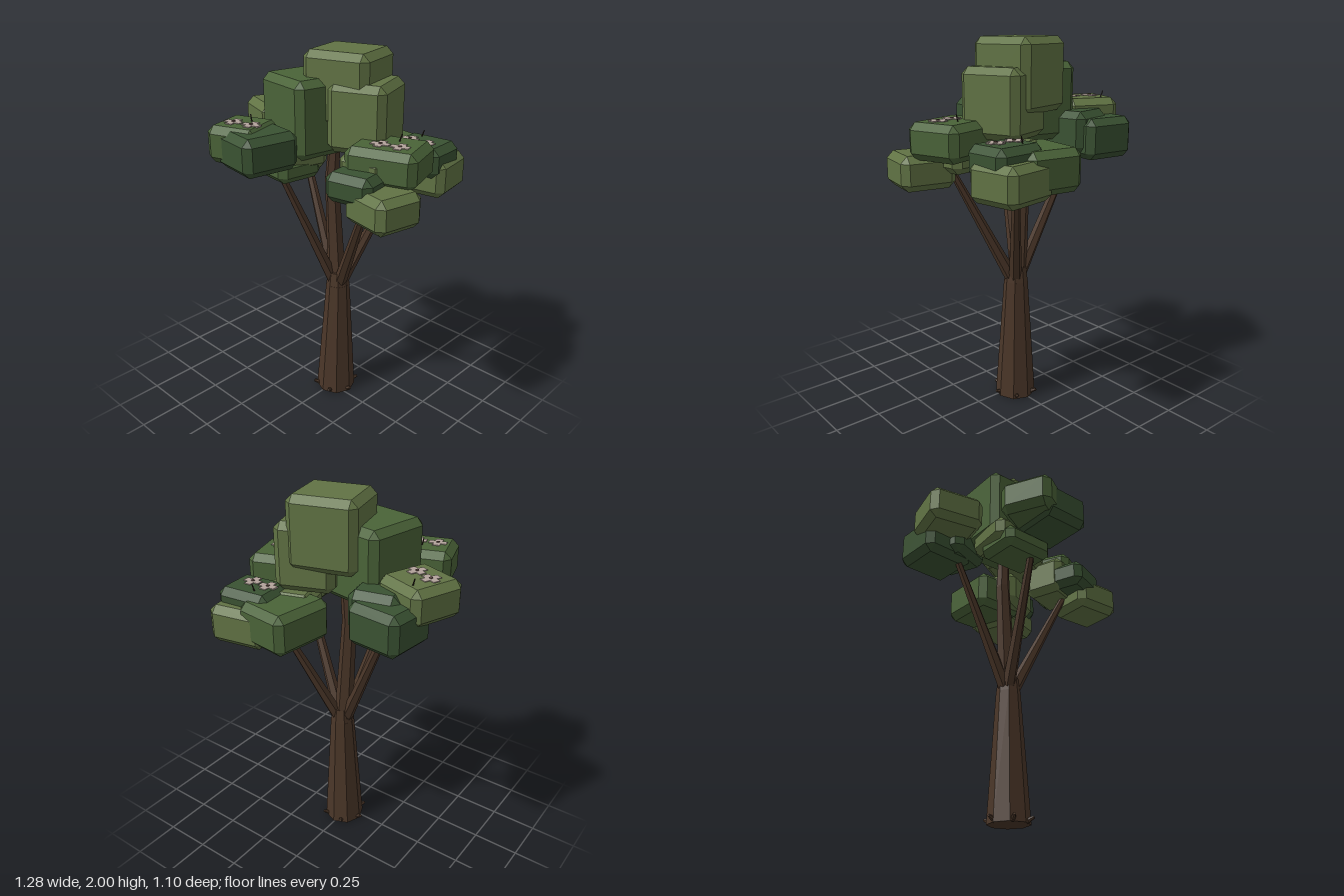
import * as THREE from 'three';
import { ConvexGeometry } from 'three/addons/geometries/ConvexGeometry.js';

const mat = (color) => new THREE.MeshStandardMaterial({ color, flatShading: true });
const LIGHT = mat(0x617344), MID = mat(0x4a6338), DARK = mat(0x3a5232);
const BARK = mat(0x4a3628), TWIG = mat(0x2c2119), PETAL = mat(0xb3a39b), CORE = mat(0x6b514b);
const V = (x, y, z) => new THREE.Vector3(x, y, z);

// Box with every edge cut at 45 degrees
function chamferBox(w, h, d, c = 0.036) {
  const points = [];
  for (const sx of [-1, 1]) for (const sy of [-1, 1]) for (const sz of [-1, 1]) {
    const x = sx * w / 2, y = sy * h / 2, z = sz * d / 2;
    points.push(V(x, y - sy * c, z - sz * c), V(x - sx * c, y, z - sz * c), V(x - sx * c, y - sy * c, z));
  }
  return new ConvexGeometry(points);
}

// Tapered limb between two points
function limb(name, a, b, r0, r1, sides, material) {
  const mesh = new THREE.Mesh(new THREE.CylinderGeometry(r1, r0, a.distanceTo(b), sides), material);
  mesh.name = name;
  mesh.position.copy(a).add(b).multiplyScalar(0.5);
  mesh.quaternion.setFromUnitVectors(V(0, 1, 0), b.clone().sub(a).normalize());
  return mesh;
}

// Plus-shaped blossom with a raised centre
function blossom(x, y, z, yaw) {
  const flower = new THREE.Group();
  flower.name = 'blossom';
  const a = 0.019, b = 0.047;
  const shape = new THREE.Shape([[a, a], [a, b], [-a, b], [-a, a], [-b, a], [-b, -a], [-a, -a], [-a, -b],
    [a, -b], [a, -a], [b, -a], [b, a]].map(([px, py]) => new THREE.Vector2(px, py)));
  const petals = new THREE.Mesh(new THREE.ExtrudeGeometry(shape, { depth: 0.008, bevelEnabled: false }), PETAL);
  petals.name = 'petals';
  petals.rotation.x = -Math.PI / 2;
  const core = new THREE.Mesh(new THREE.CylinderGeometry(0.009, 0.011, 0.012, 6), CORE);
  core.name = 'blossomCentre';
  core.position.y = 0.006;
  flower.add(petals, core);
  flower.position.set(x, y - 0.004, z);
  flower.rotation.y = yaw;
  return flower;
}

export function createModel() {
  const tree = new THREE.Group();
  tree.name = 'tree';

  // Trunk and its collar, where the branches fork
  tree.add(limb('trunk', V(0.005, 0, -0.03), V(0.01, 0.69, -0.04), 0.112, 0.066, 8, BARK));
  tree.add(limb('trunkCollar', V(0.01, 0.685, -0.04), V(0.01, 0.77, -0.04), 0.066, 0.056, 8, BARK));

  // Root stubs around the foot
  for (let i = 0; i < 6; i++) {
    const t = i * Math.PI / 3 + 0.1, c = Math.cos(t), s = Math.sin(t);
    tree.add(limb('rootStub', V(0.005 + c * 0.09, 0.012, -0.03 + s * 0.09),
      V(0.005 + c * 0.13, 0.032, -0.03 + s * 0.13), 0.015, 0.008, 6, BARK));
  }

  // Branches: start, end, radii
  const branches = [
    [[0.0, 0.72, -0.04], [-0.037, 1.32, -0.04], 0.052, 0.038],
    [[-0.037, 1.31, -0.04], [-0.02, 1.58, -0.05], 0.038, 0.03],
    [[-0.02, 0.72, -0.04], [-0.34, 1.43, -0.12], 0.036, 0.018],
    [[-0.01, 0.72, -0.02], [-0.13, 1.42, 0.26], 0.036, 0.018],
    [[0.03, 0.72, -0.06], [0.22, 1.32, -0.29], 0.036, 0.018],
    [[0.04, 0.72, -0.03], [0.34, 1.34, 0.09], 0.036, 0.018],
  ];
  for (const [a, b, r0, r1] of branches) tree.add(limb('branch', V(...a), V(...b), r0, r1, 6, BARK));

  // Leaf blocks: name, colour, centre x, centre z, bottom, top, width, depth, yaw in degrees
  const leaves = [
    ['crownTop', LIGHT, 0.03, -0.09, 1.63, 2.0, 0.365, 0.335, 15],
    ['crownSide', LIGHT, 0.145, -0.1, 1.51, 1.86, 0.31, 0.33, 20],
    ['crownFront', MID, -0.135, 0.025, 1.47, 1.87, 0.36, 0.37, -10],
    ['leftRear', DARK, -0.39, -0.22, 1.37, 1.585, 0.3, 0.29, -6],
    ['leftInner', DARK, -0.305, -0.16, 1.4, 1.62, 0.26, 0.25, 12],
    ['leftBlossomBlock', LIGHT, -0.457, -0.06, 1.48, 1.67, 0.3, 0.3, -20],
    ['frontInner', LIGHT, -0.17, 0.13, 1.4, 1.54, 0.32, 0.28, -14],
    ['frontLower', MID, -0.165, 0.17, 1.355, 1.48, 0.3, 0.26, -8],
    ['frontRear', DARK, -0.135, 0.38, 1.45, 1.645, 0.29, 0.31, -9],
    ['frontBlossomBlock', MID, -0.25, 0.375, 1.47, 1.66, 0.28, 0.28, 18],
    ['backLeft', MID, 0.135, -0.35, 1.285, 1.5, 0.31, 0.35, -8],
    ['backRight', LIGHT, 0.335, -0.39, 1.26, 1.46, 0.31, 0.29, 10],
    ['backInner', LIGHT, 0.2, -0.225, 1.31, 1.51, 0.29, 0.22, 17],
    ['backBlossomBlock', DARK, 0.33, -0.345, 1.37, 1.53, 0.3, 0.25, 5],
    ['rightInner', LIGHT, 0.315, 0.045, 1.34, 1.56, 0.26, 0.24, 8],
    ['rightFront', DARK, 0.335, 0.16, 1.35, 1.5, 0.26, 0.25, 10],
    ['rightOuter', LIGHT, 0.48, 0.15, 1.26, 1.44, 0.29, 0.27, -11],
    ['rightBlossomBlock', MID, 0.385, 0, 1.42, 1.605, 0.37, 0.3, 18],
  ];
  for (const [name, material, x, z, y0, y1, w, d, yaw] of leaves) {
    const block = new THREE.Mesh(chamferBox(w, y1 - y0, d), material);
    block.name = name;
    block.position.set(x, (y0 + y1) / 2, z);
    block.rotation.y = THREE.MathUtils.degToRad(yaw);
    tree.add(block);
  }

  // Blossom pairs with a twig: top height, yaw, first, second, twig position
  const pairs = [
    [1.67, -24, [-0.51, -0.06], [-0.41, -0.015], [-0.485, -0.17]],
    [1.53, 2, [0.26, -0.32], [0.365, -0.315], [0.28, -0.4]],
    [1.605, 16, [0.36, 0.04], [0.46, 0.015], [0.4, -0.06]],
    [1.66, 15, [-0.285, 0.405], [-0.18, 0.38], [-0.235, 0.335]],
  ];
  for (const [y, deg, p, q, t] of pairs) {
    const yaw = THREE.MathUtils.degToRad(deg);
    for (const [x, z] of [p, q]) tree.add(blossom(x, y, z, yaw));
    const lean = Math.sign(t[0]) * 0.007;
    tree.add(limb('twig', V(t[0] - lean, y - 0.01, t[1]), V(t[0] + lean, y + 0.035, t[1] - 0.005), 0.004, 0.003, 5, TWIG));
  }
  return tree;
}
